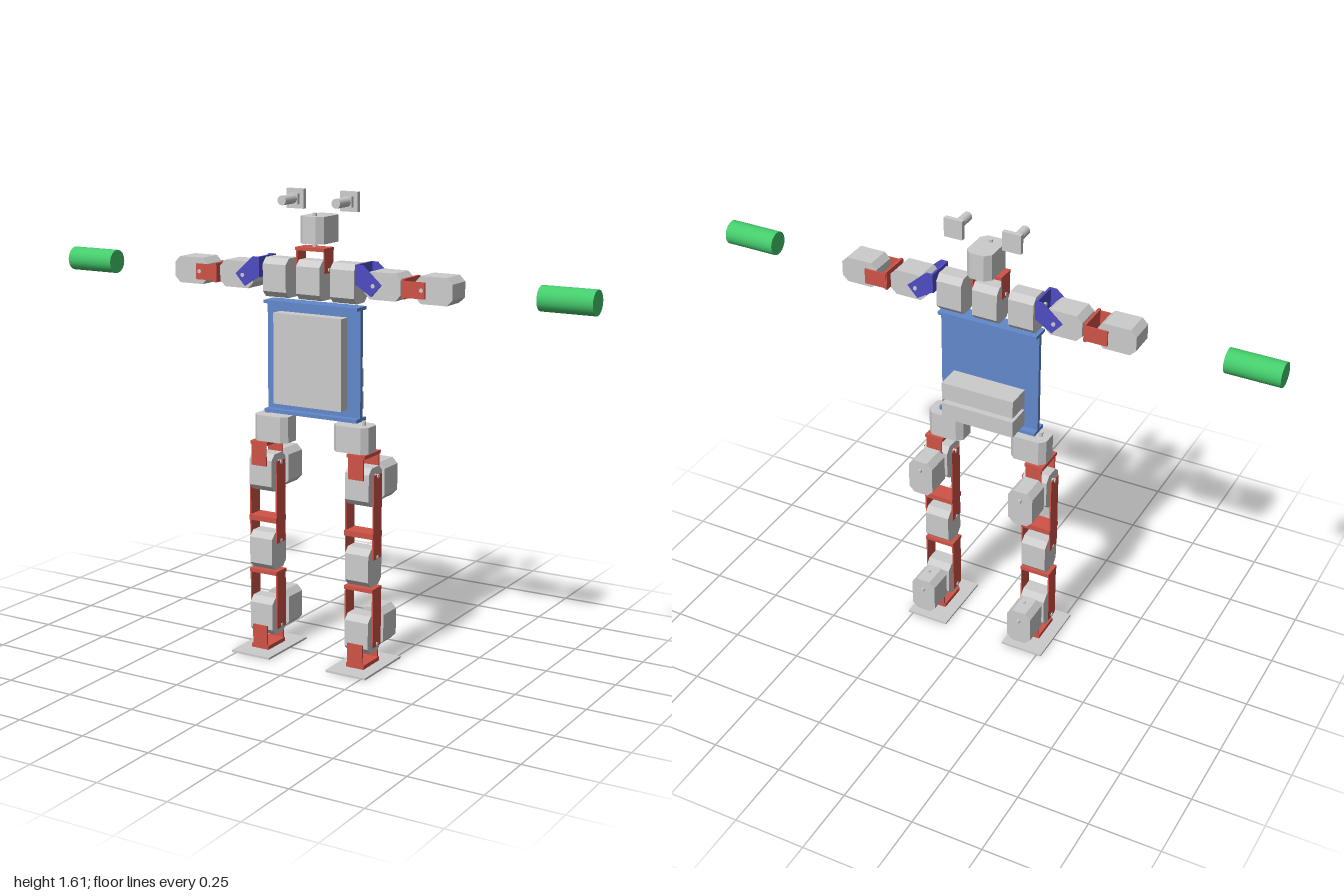
import * as THREE from 'three';

const mat = (color) => new THREE.MeshStandardMaterial({ color });
const grey = mat(0xcccccc), red = mat(0xcf5347), blue = mat(0x6288cc);
const violet = mat(0x4f4cc4), green = mat(0x45cc6c);
const X = new THREE.Vector3(1, 0, 0), Y = new THREE.Vector3(0, 1, 0), Z = new THREE.Vector3(0, 0, 1);
const ZC = 0.025; // depth of the body's middle plane

function add(parent, name, geometry, material, x = 0, y = 0, z = 0) {
  const mesh = new THREE.Mesh(geometry, material);
  mesh.name = name;
  mesh.position.set(x, y, z);
  parent.add(mesh);
  return mesh;
}

// Box given by its lower and upper corners
function box(parent, name, material, [x0, y0, z0], [x1, y1, z1]) {
  return add(parent, name, new THREE.BoxGeometry(x1 - x0, y1 - y0, z1 - z0), material,
    (x0 + x1) / 2, (y0 + y1) / 2, (z0 + z1) / 2);
}

// Cylinder centred at a point and lying along an axis
function rod(parent, name, material, radius, length, axis, x, y, z, sides = 24) {
  const mesh = add(parent, name, new THREE.CylinderGeometry(radius, radius, length, sides), material, x, y, z);
  mesh.quaternion.setFromUnitVectors(Y, axis);
  return mesh;
}

// Servo motor: chamfered block, with its long side and its shaft axis given
function servo(parent, name, long, axis, x, y, z) {
  const w = 0.045, h = 0.066, c = 0.02;
  const shape = new THREE.Shape([
    [-w + c, -h], [w - c, -h], [w, -h + c], [w, h - c],
    [w - c, h], [-w + c, h], [-w, h - c], [-w, -h + c],
  ].map(([a, b]) => new THREE.Vector2(a, b)));
  const geo = new THREE.ExtrudeGeometry(shape, { depth: 0.09, bevelEnabled: false });
  geo.translate(0, 0, -0.045);
  geo.applyMatrix4(new THREE.Matrix4().makeBasis(new THREE.Vector3().crossVectors(long, axis), long, axis));
  add(parent, name, geo, grey, x, y, z);
}

function buildLeg(s) {
  const leg = new THREE.Group();
  leg.name = s > 0 ? 'leftLeg' : 'rightLeg';
  const cx = s * 0.19;
  servo(leg, 'hipServo', X, Y, s * 0.156, 0.797, ZC);
  rod(leg, 'hipShaft', grey, 0.007, 0.12, Y, cx, 0.797, ZC);

  // Front and rear servos
  servo(leg, 'thighServo', Y, X, cx, 0.64, ZC);
  servo(leg, 'kneeServo', Y, X, cx, 0.36, ZC);
  servo(leg, 'ankleServo', Y, X, cx, 0.124, ZC);
  for (const [name, y, shaftY, pinY] of [['hipRollServo', 0.64, 0.672, 0.555], ['ankleRollServo', 0.124, 0.152, 0.2]]) {
    servo(leg, name, Y, Z, cx, y, -0.083);
    rod(leg, name + 'Shaft', grey, 0.007, 0.115, Z, cx, shaftY, -0.083);
    rod(leg, name + 'Pin', grey, 0.004, 0.008, Z, cx, pinY, -0.083, 12);
  }

  // Hip and foot yokes with plates in front and behind
  box(leg, 'hipYokeBase', red, [cx - 0.034, 0.74, -0.03], [cx + 0.034, 0.752, 0.08]);
  box(leg, 'footYokeBase', red, [cx - 0.034, 0.008, -0.03], [cx + 0.034, 0.022, 0.08]);
  for (const z of [-0.03, 0.075]) {
    box(leg, 'hipYokeArm', red, [cx - 0.029, 0.667, z], [cx + 0.029, 0.742, z + 0.005]);
    box(leg, 'footYokeArm', red, [cx - 0.029, 0.015, z], [cx + 0.029, 0.093, z + 0.005]);
  }

  // Thigh and shin frames with plates on both sides
  box(leg, 'thighCrossPlate', red, [cx - 0.055, 0.463, -0.006], [cx + 0.055, 0.482, 0.058]);
  box(leg, 'shinCrossPlate', red, [cx - 0.055, 0.275, -0.006], [cx + 0.055, 0.288, 0.058]);
  for (const side of [-1, 1]) {
    const px = cx + side * 0.0525;
    box(leg, 'thighSidePlate', red, [px - 0.0025, 0.39, -0.002], [px + 0.0025, 0.682, 0.053]);
    box(leg, 'shinSidePlate', red, [px - 0.0025, 0.08, -0.002], [px + 0.0025, 0.28, 0.053]);
  }
  for (const y of [0.676, 0.395, 0.088]) rod(leg, 'jointPin', grey, 0.007, 0.116, X, cx, y, ZC);

  box(leg, 'footPlate', grey, [cx - 0.077, 0, -0.106], [cx + 0.077, 0.007, 0.144]);
  return leg;
}

function buildArm(s) {
  const arm = new THREE.Group();
  arm.name = s > 0 ? 'leftArm' : 'rightArm';
  const ay = 1.318;
  servo(arm, 'shoulderServo', Y, X, s * 0.13, 1.315, ZC);
  servo(arm, 'upperArmServo', X, Z, s * 0.28, ay, ZC);
  servo(arm, 'forearmServo', X, Z, s * 0.465, ay, ZC);
  rod(arm, 'shoulderShaft', grey, 0.008, 0.05, X, s * 0.175, 1.348, ZC);

  // Shoulder yoke: upright base and two slanting cheeks
  box(arm, 'shoulderYokeBase', violet, [s * 0.188 - 0.004, 1.315, -0.026], [s * 0.188 + 0.004, 1.383, 0.078]);
  const cheek = new THREE.Shape([[0.186, 1.318], [0.243, 1.282], [0.279, 1.322], [0.21, 1.383], [0.186, 1.383]]
    .map(([x, y]) => new THREE.Vector2(s * x, y)));
  for (const z of [-0.027, 0.072]) {
    add(arm, 'shoulderYokeCheek', new THREE.ExtrudeGeometry(cheek, { depth: 0.006, bevelEnabled: false }), violet, 0, 0, z);
  }

  // Elbow yoke
  box(arm, 'elbowYokeBase', red, [s * 0.36 - 0.005, 1.285, -0.03], [s * 0.36 + 0.005, 1.35, 0.08]);
  for (const z of [-0.032, 0.075]) {
    box(arm, 'elbowYokeArm', red, [s * 0.398 - 0.04, 1.29, z], [s * 0.398 + 0.04, 1.344, z + 0.005]);
  }
  for (const x of [0.25, 0.425]) rod(arm, 'armJointPin', grey, 0.007, 0.112, Z, s * x, ay, ZC);

  rod(arm, 'hand', green, 0.041, 0.185, X, s * 0.9075, ay, ZC, 32);
  return arm;
}

function buildTorso() {
  const torso = new THREE.Group();
  torso.name = 'torso';
  box(torso, 'backPlate', blue, [-0.18, 0.86, 0.018], [0.18, 1.232, 0.033]);
  box(torso, 'upperFlange', blue, [-0.18, 1.226, -0.005], [0.18, 1.237, 0.058]);
  box(torso, 'lowerFlange', blue, [-0.18, 0.853, -0.005], [0.18, 0.865, 0.058]);
  box(torso, 'chestBox', grey, [-0.131, 0.89, 0.033], [0.131, 1.2, 0.076]);
  box(torso, 'upperBattery', grey, [-0.132, 0.95, -0.073], [0.132, 1.013, 0.014]);
  box(torso, 'lowerBattery', grey, [-0.132, 0.874, -0.073], [0.132, 0.934, 0.014]);
  return torso;
}

function buildHead() {
  const head = new THREE.Group();
  head.name = 'head';
  servo(head, 'neckServo', Y, X, 0, 1.315, ZC);
  rod(head, 'neckPin', grey, 0.007, 0.116, X, 0, 1.35, ZC);
  box(head, 'neckYokeBase', red, [-0.055, 1.412, -0.006], [0.055, 1.423, 0.058]);
  for (const s of [-1, 1]) {
    box(head, 'neckYokeArm', red, [s * 0.0525 - 0.0025, 1.34, -0.002], [s * 0.0525 + 0.0025, 1.415, 0.053]);
    // Eye camera: board, square mount and lens barrel
    const x = s * 0.103, y = 1.573;
    box(head, 'eyeBoard', grey, [x - 0.033, y - 0.033, -0.035], [x + 0.033, y + 0.033, -0.019]);
    box(head, 'eyeMount', grey, [x - 0.018, y - 0.018, -0.02], [x + 0.018, y + 0.018, -0.005]);
    rod(head, 'eyeLens', grey, 0.016, 0.075, Z, x, y, 0.027);
  }
  servo(head, 'headServo', Z, Y, 0, 1.48, -0.006);
  rod(head, 'headShaft', grey, 0.007, 0.115, Y, 0, 1.477, ZC);
  return head;
}

export function createModel() {
  const model = new THREE.Group();
  model.name = 'humanoidRobot';
  model.add(buildTorso(), buildHead());
  for (const s of [1, -1]) model.add(buildArm(s), buildLeg(s));
  return model;
}
